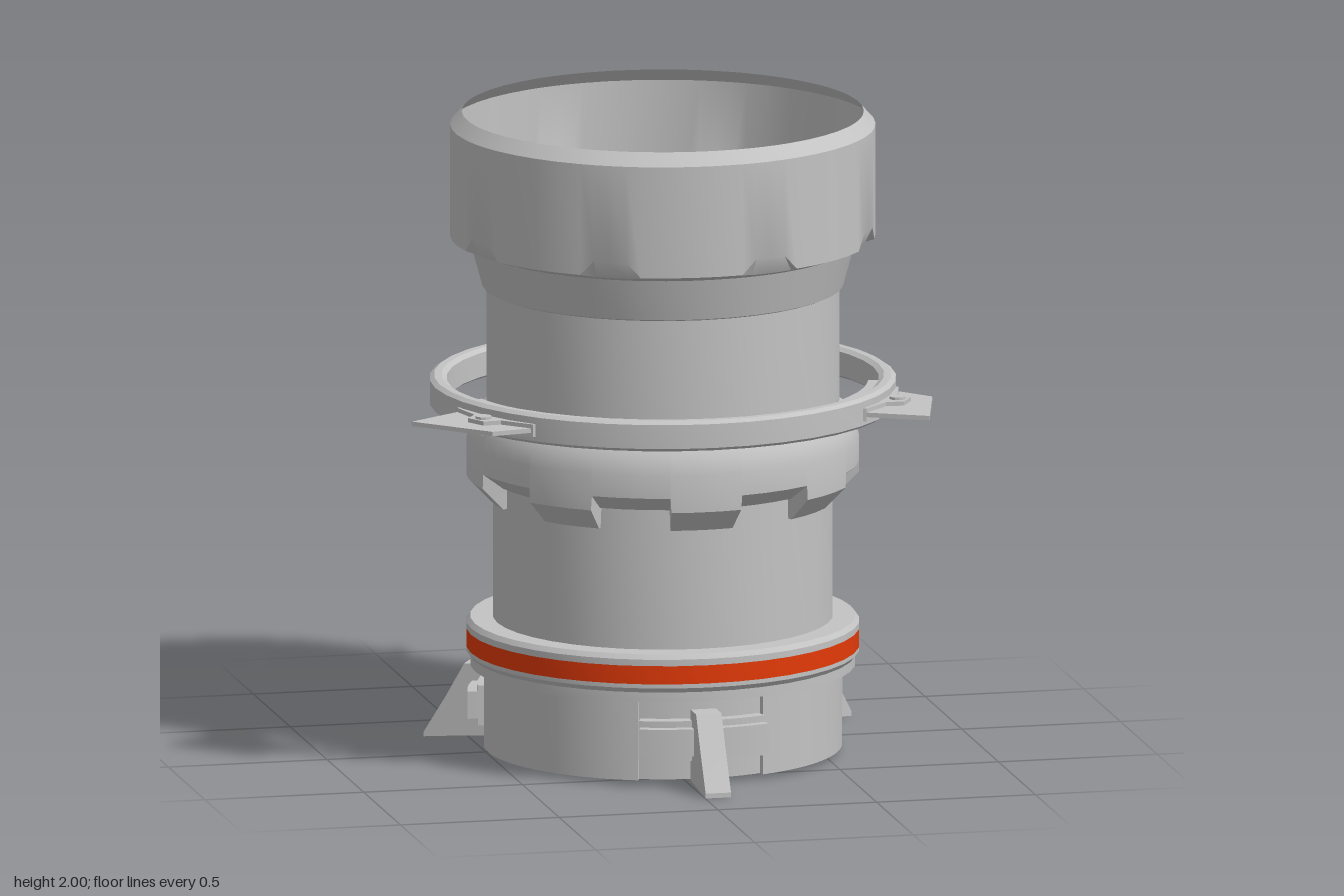
import * as THREE from 'three';
import { toCreasedNormals } from 'three/addons/utils/BufferGeometryUtils.js';

const RAD = Math.PI / 180;
const grey = new THREE.MeshStandardMaterial({ color: 0xc3c3c3, side: THREE.DoubleSide });
grey.name = 'grey metal';
const orange = new THREE.MeshStandardMaterial({ color: 0xe43a08, side: THREE.DoubleSide });
orange.name = 'orange band';

function mesh(name, geometry, material = grey) {
  const m = new THREE.Mesh(toCreasedNormals(geometry, 0.5), material);
  m.name = name;
  return m;
}

// Revolved skin whose [radius, y] profile (top to bottom) may vary with the angle in degrees
function skin(name, profileAt, angles, material) {
  const pos = [], index = [];
  let rows = 0;
  for (const a of angles) {
    const profile = profileAt(a);
    rows = profile.length;
    for (const [r, y] of profile) pos.push(r * Math.sin(a * RAD), y, r * Math.cos(a * RAD));
  }
  for (let i = 0; i < angles.length - 1; i++) {
    for (let j = 0; j < rows - 1; j++) {
      const A = i * rows + j, D = A + rows;
      index.push(A, A + 1, D + 1, A, D + 1, D);
    }
  }
  const g = new THREE.BufferGeometry();
  g.setAttribute('position', new THREE.Float32BufferAttribute(pos, 3));
  g.setIndex(index);
  return mesh(name, g, material);
}

// Repeats a list of angle offsets eight times round the circle
function eightfold(offsets) {
  const list = [];
  for (let k = 0; k < 8; k++) for (const o of offsets) list.push(k * 45 + o);
  list.push(360 + offsets[0]);
  return list;
}
const round = eightfold([0, 9, 18, 27, 36]);

// Flat outline (x, -z) raised from y0 to y1
function slab(name, shape, y0, y1) {
  const g = new THREE.ExtrudeGeometry(shape, { depth: y1 - y0, bevelEnabled: false, curveSegments: 12 });
  g.rotateX(-Math.PI / 2).translate(0, y0, 0);
  return mesh(name, g);
}
const outline = (pts) => new THREE.Shape(pts.map(([x, y]) => new THREE.Vector2(x, y)));

// Curved wall piece centred on angle a (0 = front)
function sector(name, r0, r1, y0, y1, a, half) {
  const s = new THREE.Shape(), from = (a - 90 - half) * RAD, to = (a - 90 + half) * RAD;
  s.absarc(0, 0, r1, from, to, false);
  s.absarc(0, 0, r0, to, from, true);
  return slab(name, s, y0, y1);
}

export function createModel() {
  const model = new THREE.Group();
  model.name = 'dockingTube';
  const body = new THREE.Group();
  body.name = 'body';
  body.position.set(0.041, 0, 0.074);
  model.add(body);

  // Top collar with eight shallow notches along its lower edge
  const collarEdge = (a) => {
    const d = Math.abs((((a - 17.5 + 22.5) % 45) + 45) % 45 - 22.5);
    return 1.612 + 0.045 * THREE.MathUtils.clamp((8.5 - d) / 4, 0, 1);
  };
  body.add(skin('topCollar',
    (a) => [[0.617, 2], [0.653, 1.96], [0.653, collarEdge(a)], [0.625, 1.603], [0.59, 1.59]],
    eightfold([-5, 2, 9, 13, 17.5, 22, 26, 33])));

  // Neck and upper tube
  body.add(skin('upperTube',
    () => [[0.59, 1.59], [0.555, 1.46], [0.543, 1.455], [0.543, 1.08]], round));

  // Middle collar with eight teeth
  body.add(skin('toothedCollar', (a) => {
    const d = Math.abs((((a + 22.5) % 45) + 45) % 45 - 22.5);
    const tooth = d < 10.6;
    return [[0.543, 1.085], [0.56, 1.075], [0.59, 1.03], [0.603, 0.98],
      [0.603, tooth ? 0.865 : 0.91], [0.535, tooth ? 0.795 : 0.86], [0.522, tooth ? 0.795 : 0.86]];
  }, eightfold([-10.5, -3.5, 3.5, 10.5, 10.8, 18.5, 26.5, 34.2])));

  // Lower tube, orange band and lip
  body.add(skin('lowerTube',
    () => [[0.522, 0.87], [0.522, 0.42], [0.592, 0.42], [0.604, 0.405], [0.604, 0.385]], round));
  body.add(skin('orangeBand', () => [[0.604, 0.385], [0.604, 0.328]], round, orange));
  body.add(skin('lowerLip',
    () => [[0.604, 0.328], [0.604, 0.315], [0.592, 0.3], [0.592, 0.27], [0.535, 0.27]], round));

  // Base walls, leaving the back open
  for (const side of [-1, 1]) {
    body.add(sector('baseWall', 0.532, 0.55, 0.015, 0.272, side * 60, 39));
  }

  // Three feet, each on a recessed panel with a curved bracket
  const legProfile = [[0.55, 0.237], [0.625, 0.237], [0.685, 0.13], [0.755, 0.015],
    [0.755, 0], [0.7, 0.005], [0.55, 0.015]];
  for (let k = 0; k < 3; k++) {
    const foot = new THREE.Group();
    foot.name = 'foot';
    foot.rotation.y = k * 120 * RAD;
    foot.add(sector('recessedPanel', 0.515, 0.53, 0.015, 0.272, 0, 21.5));
    foot.add(sector('bracketBase', 0.53, 0.57, 0.08, 0.205, 0, 20.5));
    foot.add(sector('bracketRail', 0.57, 0.6, 0.1, 0.185, 0, 20));
    const leg = new THREE.ExtrudeGeometry(outline(legProfile), { depth: 0.08, bevelEnabled: false });
    leg.translate(0, 0, -0.04).rotateY(-Math.PI / 2);
    foot.add(mesh('leg', leg));
    body.add(foot);
  }

  // Hoop around the upper tube
  body.add(skin('hoop', () => [[0.664, 1.165], [0.68, 1.175], [0.703, 1.175], [0.717, 1.165],
    [0.717, 1.09], [0.703, 1.08], [0.68, 1.08], [0.664, 1.09], [0.664, 1.165]], round));

  // Three swept fins on the hoop, each with a backing plate inside it
  const finShape = outline([[-0.17, 0.69], [0.17, 0.69], [0.16, 0.905], [-0.12, 0.828]]);
  const mountShape = outline([[-0.175, 0.68], [0.175, 0.68], [0.17, 0.705], [0.06, 0.735],
    [0.035, 0.785], [-0.035, 0.785], [-0.06, 0.735], [-0.17, 0.705]]);
  for (let k = 0; k < 3; k++) {
    const fin = new THREE.Group();
    fin.name = 'fin';
    fin.rotation.y = k * 120 * RAD;
    fin.add(slab('finBlade', finShape, 1.117, 1.131));
    fin.add(slab('finMount', mountShape, 1.104, 1.144));
    fin.add(sector('finBacking', 0.63, 0.67, 1.095, 1.16, 180, 15));
    const pin = new THREE.CylinderGeometry(0.025, 0.025, 0.056, 12);
    pin.translate(0, 1.124, -0.753);
    fin.add(mesh('finPin', pin));
    body.add(fin);
  }

  // Ceiling plate over the back opening
  const ceiling = new THREE.Shape();
  ceiling.moveTo(-0.343, 0.24);
  ceiling.lineTo(0.343, 0.24);
  ceiling.absarc(0, 0, 0.55, 51.4 * RAD, 128.6 * RAD, false);
  body.add(slab('ceilingPlate', ceiling, 0.262, 0.272));

  // Lowered hatch, sloping outward and down from its hinge
  const hatch = new THREE.Group();
  hatch.name = 'hatch';
  hatch.position.set(0, 0.065, -0.315);
  hatch.rotation.x = -15 * RAD;
  const box = (name, w, h, d, x, z) => {
    hatch.add(mesh(name, new THREE.BoxGeometry(w, h, d).translate(x, 0, z)));
  };
  box('hatchPlate', 0.686, 0.012, 0.21, 0, -0.11);
  box('hingeBar', 0.69, 0.03, 0.04, 0, 0);
  for (const side of [-1, 1]) box('hingeTab', 0.04, 0.04, 0.075, side * 0.36, 0);
  body.add(hatch);

  return model;
}
